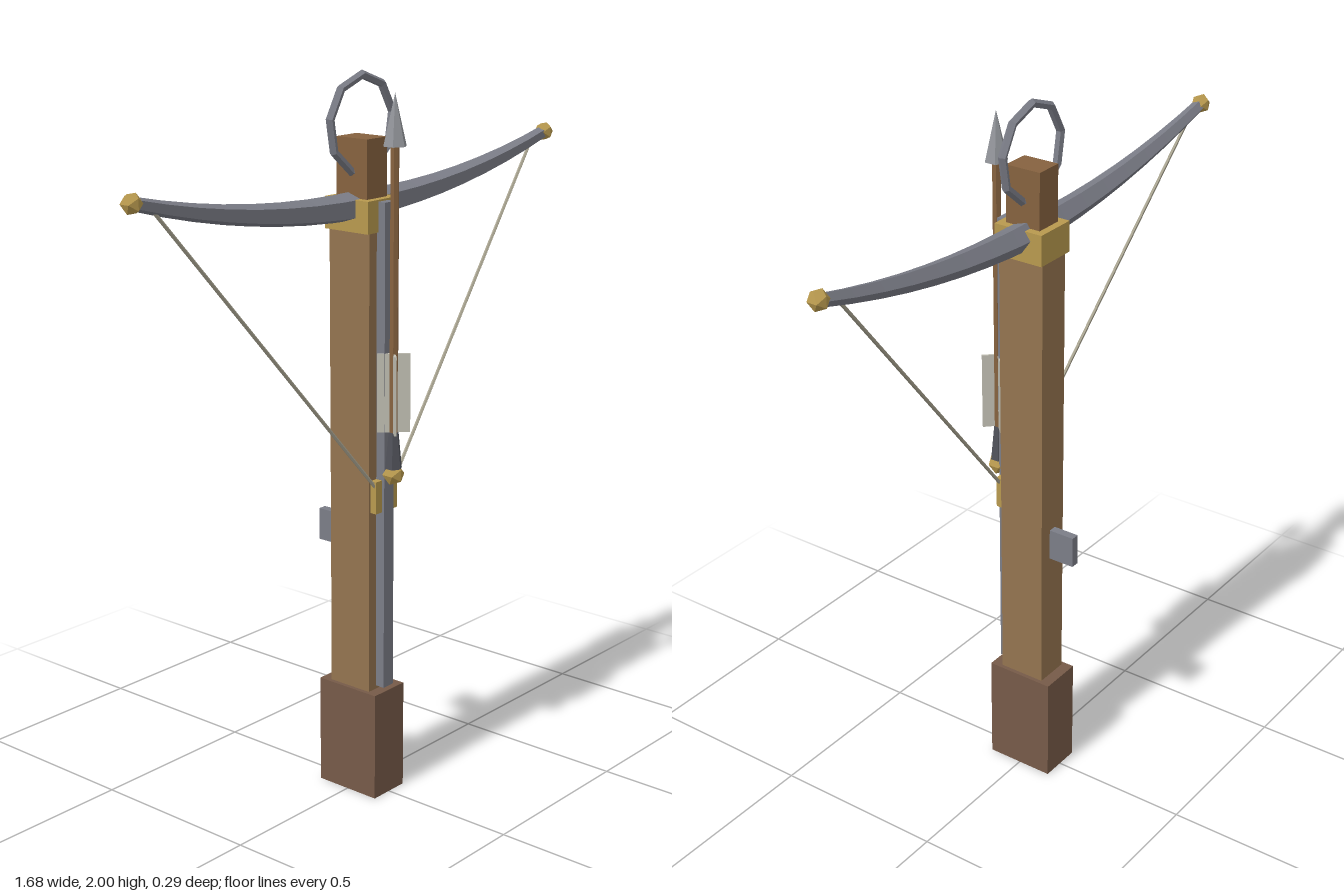
import * as THREE from 'three';

const mat = (name, color) => {
  const m = new THREE.MeshStandardMaterial({ color });
  m.name = name;
  return m;
};

export function createModel() {
  const root = new THREE.Group();
  root.name = 'crossbow';
  const wood = mat('stock wood', 0x94744f);
  const darkWood = mat('butt wood', 0x765a48);
  const redWood = mat('bolt wood', 0x86623f);
  const brass = mat('brass', 0xb8994e);
  const steel = mat('steel', 0x7b7d87);
  const darkSteel = mat('dark steel', 0x50525a);
  const paleSteel = mat('pale steel', 0x92959a);
  const cord = mat('cord', 0xaaa592);
  const feather = mat('feather', 0xc2c0b4);

  // Adds a faceted mesh
  const add = (name, geo, material, x = 0, y = 0, z = 0, parent = root) => {
    const g = geo.index ? geo.toNonIndexed() : geo;
    g.computeVertexNormals();
    const mesh = new THREE.Mesh(g, material);
    mesh.name = name;
    mesh.position.set(x, y, z);
    parent.add(mesh);
    return mesh;
  };
  // Box given by half width and its y and z ranges
  const box = (name, material, hx, y0, y1, z0, z1) =>
    add(name, new THREE.BoxGeometry(hx * 2, y1 - y0, z1 - z0), material, 0, (y0 + y1) / 2, (z0 + z1) / 2);

  // Stock and fittings
  box('butt', darkWood, 0.062, 0, 0.31, -0.1, 0.1);
  box('stock', wood, 0.05, 0.31, 1.62, -0.068, 0.068);
  box('nosePost', redWood, 0.04, 1.62, 1.83, -0.052, 0.052);
  box('bowBracket', brass, 0.062, 1.59, 1.675, -0.073, 0.073);
  box('rail', steel, 0.02, 0.32, 1.67, 0.06, 0.096);
  box('stringCatch', brass, 0.044, 0.83, 0.92, 0.05, 0.088);
  box('trigger', steel, 0.012, 0.7, 0.79, -0.144, -0.06);

  // Foot ring
  const ring = new THREE.TorusGeometry(0.126, 0.012, 5, 9);
  ring.rotateZ(Math.PI / 2);
  add('footRing', ring, steel, 0, 1.862, 0);

  // Bow limbs: five-sided bar, tapered and bent upward
  const half = 0.815;
  const bow = new THREE.CylinderGeometry(1, 1, half * 2, 5, 16);
  bow.rotateY(Math.PI);
  bow.rotateZ(-Math.PI / 2);
  const p = bow.attributes.position;
  for (let i = 0; i < p.count; i++) {
    const t = Math.abs(p.getX(i)) / half;
    const r = 0.041 - 0.023 * t;
    p.setY(i, p.getY(i) * r + 1.65 + 0.11 * t * t);
    p.setZ(i, p.getZ(i) * r);
  }
  add('bow', bow, steel);

  // Tip knobs and string on both sides
  for (const s of [1, -1]) {
    add('tipKnob', new THREE.IcosahedronGeometry(0.028, 0), brass, s * half, 1.76, 0);
    const path = new THREE.LineCurve3(
      new THREE.Vector3(s * 0.745, 1.73, 0),
      new THREE.Vector3(s * 0.04, 0.905, 0.08));
    add('bowstring', new THREE.TubeGeometry(path, 1, 0.005, 5), cord);
  }

  // Bolt lying on the rail
  const bolt = new THREE.Group();
  bolt.name = 'bolt';
  bolt.position.z = 0.111;
  root.add(bolt);
  add('shaft', new THREE.CylinderGeometry(0.012, 0.012, 0.88, 6), redWood, 0, 1.38, 0, bolt);
  add('head', new THREE.ConeGeometry(0.032, 0.135, 6), paleSteel, 0, 1.882, 0, bolt);
  add('nockSleeve', new THREE.CylinderGeometry(0.014, 0.024, 0.1, 6), darkSteel, 0, 1.005, 0, bolt);
  add('nockKnob', new THREE.IcosahedronGeometry(0.031, 0), brass, 0, 0.938, 0, bolt);
  for (let i = 0; i < 4; i++) {
    const vane = new THREE.BoxGeometry(0.036, 0.215, 0.006);
    vane.translate(0.026, 0, 0);
    vane.rotateY(Math.PI / 4 + i * Math.PI / 2);
    add('fletching', vane, feather, 0, 1.163, 0, bolt);
  }
  return root;
}
